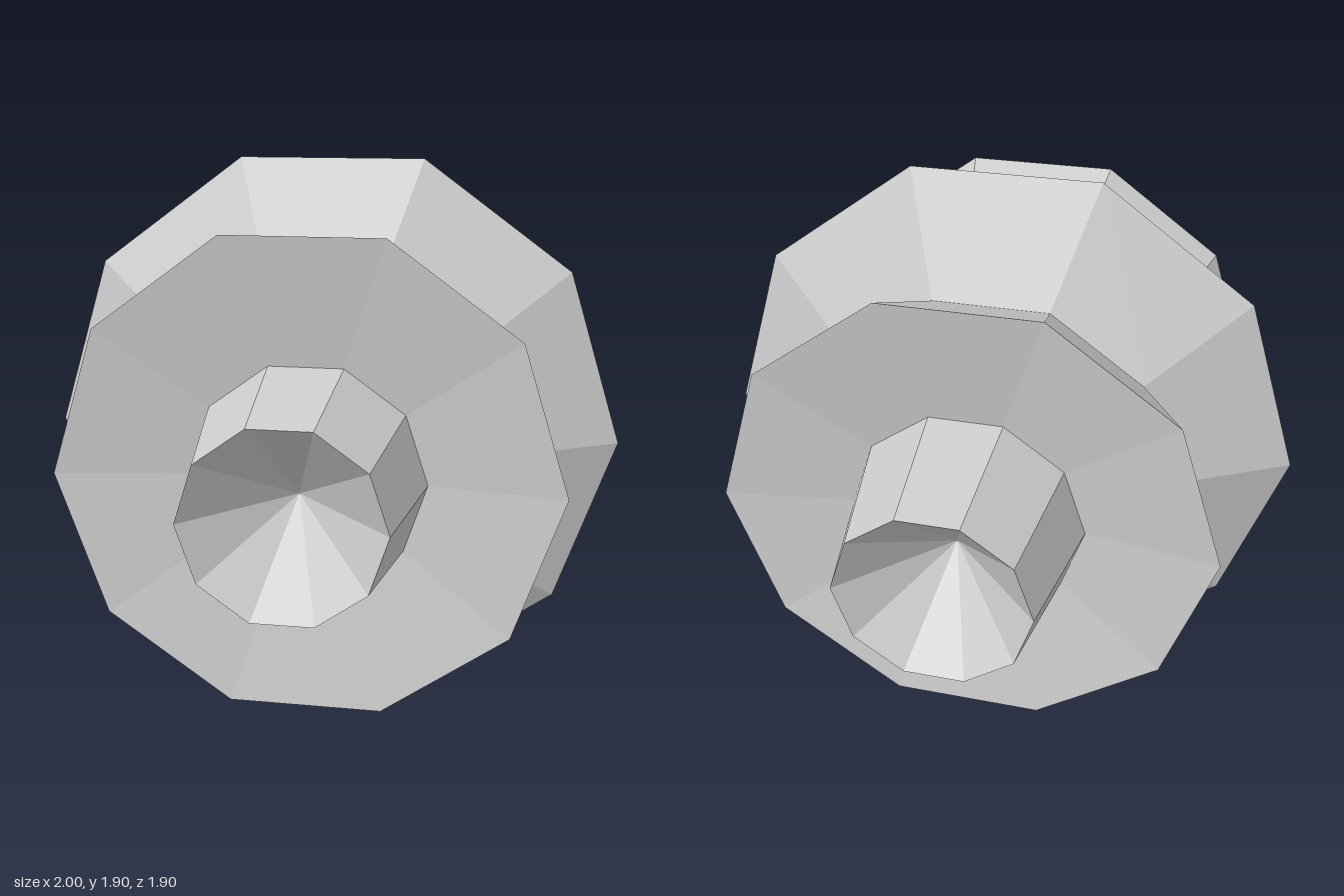
import * as THREE from 'three';

const SIDES = 10;    // facets around the z axis
const OUTER = 1;     // radius of the star's tips
const INNER = 0.65;  // radius of the star's notches

export function createModel() {
  const group = new THREE.Group();
  group.name = 'starSpool';

  // Half of a ten-pointed star, from the back dimple to the front dimple
  const profile = [];
  for (let i = -5; i <= 5; i++) {
    const angle = i * Math.PI / 10;
    const radius = i % 2 === 0 ? OUTER : INNER;
    const r = Math.abs(i) === 5 ? 0 : radius * Math.cos(angle);
    profile.push(new THREE.Vector2(r, radius * Math.sin(angle)));
  }

  // Revolve the star, then turn its axis from y to z
  const geometry = new THREE.LatheGeometry(profile, SIDES, Math.PI / 2);
  geometry.rotateX(Math.PI / 2);
  const material = new THREE.MeshStandardMaterial({ color: 0xcccccc, flatShading: true });
  const body = new THREE.Mesh(geometry, material);
  body.name = 'revolvedStarBody';

  // Rest the lowest flat facet on the ground
  body.position.y = OUTER * Math.cos(Math.PI / SIDES);
  group.add(body);
  return group;
}
